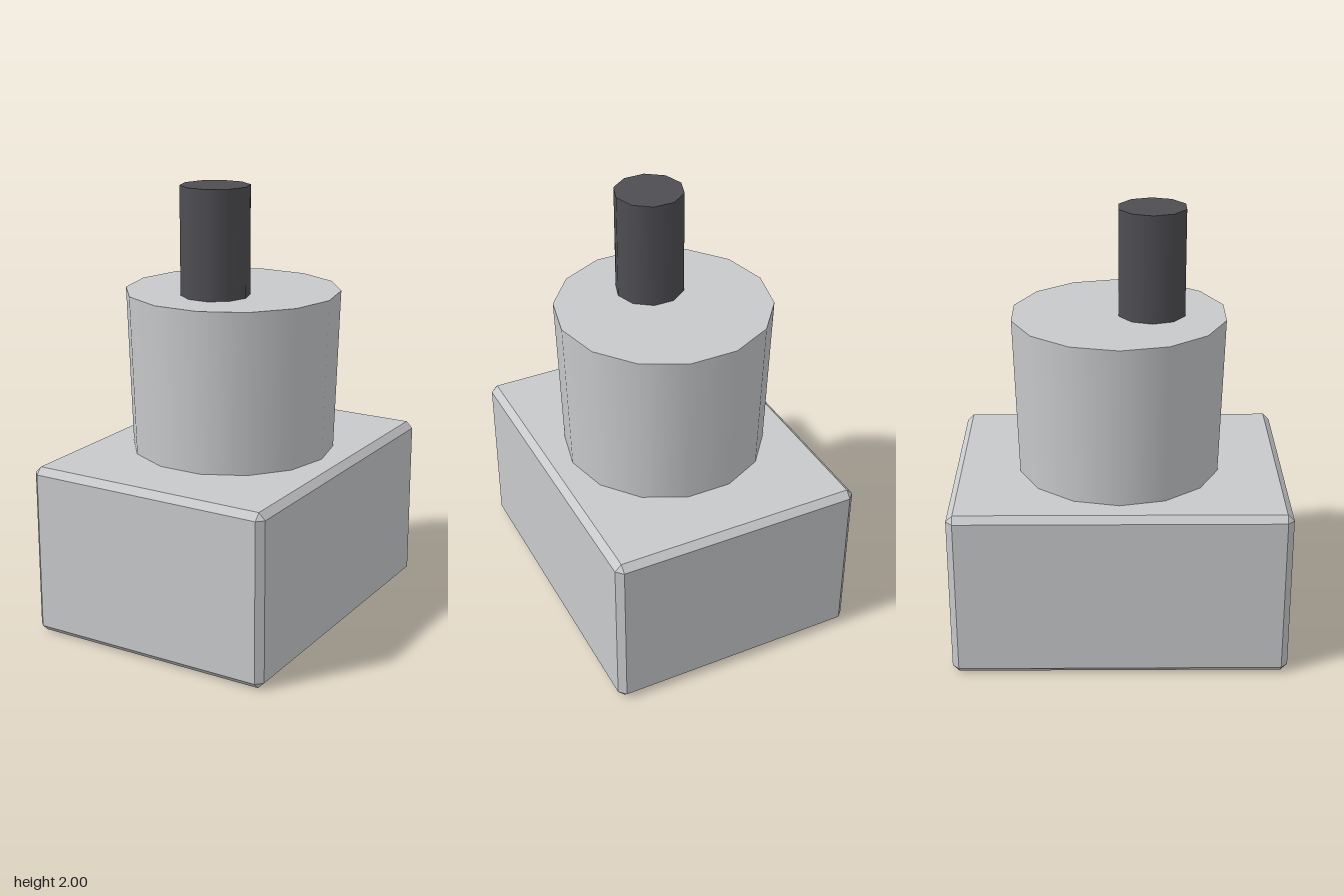
import * as THREE from 'three';
import { ConvexGeometry } from 'three/addons/geometries/ConvexGeometry.js';

// Box with every edge bevelled and a small triangle at each corner
function chamferedBox(w, h, d, c) {
  const points = [];
  for (const sx of [-1, 1]) for (const sy of [-1, 1]) for (const sz of [-1, 1]) {
    for (const [ix, iy, iz] of [[0, c, c], [c, 0, c], [c, c, 0]]) {
      points.push(new THREE.Vector3(sx * (w / 2 - ix), sy * (h / 2 - iy), sz * (d / 2 - iz)));
    }
  }
  return new ConvexGeometry(points);
}

// Upright cylinder standing on y0, with a vertex pointing along +x
function uprightCylinder(rTop, rBottom, y0, y1, sides) {
  const g = new THREE.CylinderGeometry(rTop, rBottom, y1 - y0, sides, 1, false, Math.PI / 2);
  return g.translate(0, (y0 + y1) / 2, 0);
}

export function createModel() {
  const group = new THREE.Group();
  group.name = 'model';

  const lightGrey = new THREE.MeshStandardMaterial({ color: 0xc8c9cb });
  lightGrey.name = 'lightGrey';
  const darkGrey = new THREE.MeshStandardMaterial({ color: 0x4e4d52 });
  darkGrey.name = 'darkGrey';

  const add = (name, geometry, material, x, y, z) => {
    const mesh = new THREE.Mesh(geometry, material);
    mesh.name = name;
    mesh.position.set(x, y, z);
    group.add(mesh);
  };

  // Bevelled block at the bottom
  add('base', chamferedBox(1.17, 0.785, 1.51, 0.03), lightGrey, 0, 0.3925, 0);

  // Slightly flared drum on the block
  add('drum', uprightCylinder(0.487, 0.464, 0.78, 1.515, 14), lightGrey, 0, 0, -0.002);

  // Dark peg, set towards the front of the drum
  add('peg', uprightCylinder(0.155, 0.155, 1.51, 2, 10), darkGrey, -0.002, 0, 0.145);

  return group;
}
